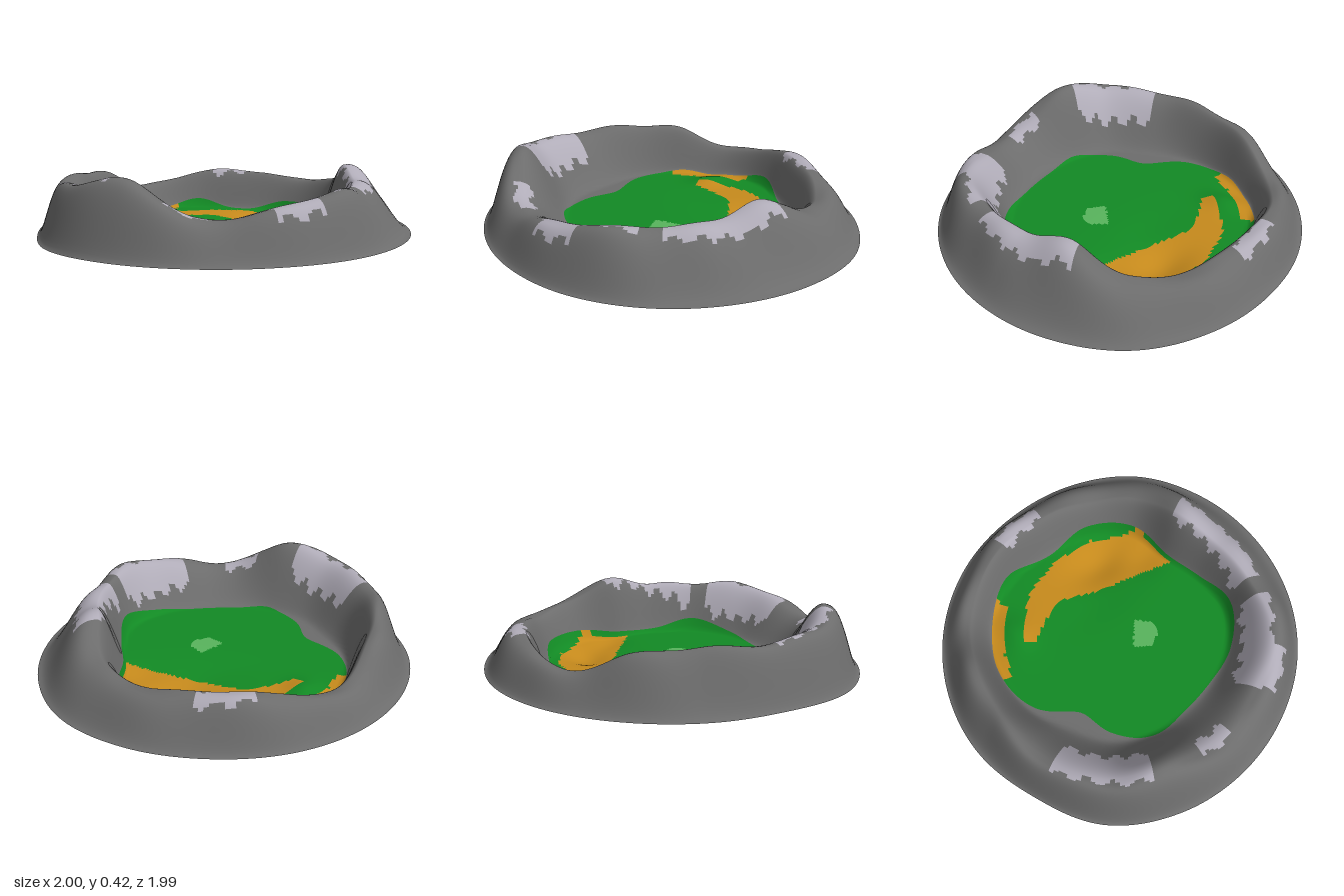
import * as THREE from 'three';

// Radii and heights around the ring, every 22.5 degrees from +x towards +z
const OUTER = [1, 0.99, 0.985, 0.98, 0.99, 1.01, 1.025, 0.99, 1, 1, 1, 1, 1, 1.02, 1.04, 1.02];
const CREST = [0.70, 0.74, 0.81, 0.79, 0.80, 0.81, 0.86, 0.84, 0.80, 0.80, 0.83, 0.82, 0.79, 0.79, 0.78, 0.69];
const HEIGHT = [0.34, 0.34, 0.34, 0.275, 0.25, 0.41, 0.365, 0.34, 0.345, 0.31, 0.20, 0.27, 0.285, 0.25, 0.27, 0.385];
const FOOT = [0.58, 0.62, 0.60, 0.57, 0.56, 0.58, 0.60, 0.60, 0.66, 0.71, 0.75, 0.73, 0.68, 0.68, 0.66, 0.57];
const GRASS = [0.58, 0.64, 0.61, 0.55, 0.54, 0.58, 0.54, 0.48, 0.62, 0.70, 0.73, 0.74, 0.66, 0.70, 0.68, 0.57];

// Outlines of the patches on the floor, as x, z
const SAND = [
  [[-0.43, -0.32], [-0.36, -0.43], [-0.22, -0.55], [0, -0.61], [0.25, -0.59], [0.5, -0.45], [0.52, -0.18], [0.35, -0.24], [0.1, -0.31], [-0.12, -0.4], [-0.25, -0.36], [-0.38, -0.29]],
  [[-0.67, -0.24], [-0.63, -0.4], [-0.52, -0.55], [-0.4, -0.62], [-0.38, -0.56], [-0.48, -0.46], [-0.56, -0.34], [-0.6, -0.22]],
];
const SPOT = [[0.02, 0.08], [0.13, -0.04], [0.2, 0.04], [0.19, 0.1], [0.1, 0.14]];

// Dips and mounds of the floor: x, z, width in x, width in z, height
const BUMPS = [
  [0.2, -0.45, 0.19, 0.13, -0.06],
  [0.42, -0.3, 0.12, 0.1, -0.02],
  [0.1, -0.25, 0.25, 0.12, -0.012],
  [-0.55, -0.42, 0.08, 0.1, -0.015],
  [-0.43, -0.4, 0.09, 0.11, 0.03],
];

// Pale rock: angle from, angle to (degrees), radius from, radius to
const PALE = [[119, 154, 0.70, 0.86], [28, 66, 0.66, 0.80], [-26, 20, 0.66, 0.80], [255, 275, 0.78, 0.87], [48, 64, 0.80, 0.88], [85, 100, 0.74, 0.82]];

// Smooth closed interpolation through a ring table
function ring(table, angle) {
  const n = table.length;
  const f = (angle / (2 * Math.PI)) * n;
  const i = Math.floor(f), t = f - i;
  const [a, b, c, d] = [-1, 0, 1, 2].map((k) => table[(i + k + n) % n]);
  return b + 0.5 * t * (c - a + t * (2 * a - 5 * b + 4 * c - d + t * (3 * (b - c) + d - a)));
}

function inside(poly, x, z) {
  let hit = false;
  poly.forEach(([x1, z1], i) => {
    const [x2, z2] = poly[(i + 1) % poly.length];
    if ((z1 > z) !== (z2 > z) && x < x1 + ((z - z1) / (z2 - z1)) * (x2 - x1)) hit = !hit;
  });
  return hit;
}

// Height of the ground: uneven floor, steep inner wall, rounded outer slope
function groundHeight(angle, r) {
  const x = r * Math.cos(angle), z = r * Math.sin(angle);
  const crest = ring(CREST, angle), outer = ring(OUTER, angle), foot = ring(FOOT, angle);
  const rise = ring(HEIGHT, angle) - 0.06 + 0.006 * Math.sin(13 * angle);
  if (r > crest) {
    const t = Math.min(1, (r - crest) / (outer - crest));
    const steep = 1.15 + 0.45 * Math.abs(Math.sin(angle));
    const ripple = 0.012 * Math.sin(11 * angle + 9 * r) * Math.sin(Math.PI * t);
    return 0.06 + rise * (1 - THREE.MathUtils.smoothstep(Math.pow(t, steep), 0, 1)) + ripple;
  }
  const t = THREE.MathUtils.clamp((r - foot + 0.02) / (crest - foot + 0.02), 0, 1);
  const floor = BUMPS.reduce((y, [bx, bz, wx, wz, h]) => y + h * Math.exp(-(((x - bx) / wx) ** 2) - ((z - bz) / wz) ** 2), 0.064);
  const wall = THREE.MathUtils.smoothstep(Math.pow(t, 0.85), 0, 1);
  return floor * (1 - wall) + (0.06 + rise) * wall;
}

function regionOf(row, x, z) {
  if (row < FLOOR_ROWS) {
    if (SAND.some((p) => inside(p, x, z))) return 'sandBunkers';
    return inside(SPOT, x, z) ? 'paleGrassSpot' : 'grassFloor';
  }
  const r = Math.hypot(x, z);
  const deg = (Math.atan2(z, x) * 180) / Math.PI;
  const pale = PALE.some(([a, b, r1, r2]) => {
    const along = (((deg - a) % 360) + 360) % 360 / (b - a);
    const wobble = 0.015 * Math.sin(deg * 0.7);
    return along < 1 && r > r1 + wobble && r < r2 + wobble;
  });
  return pale ? 'paleRock' : 'rockRim';
}

const FLOOR_ROWS = 40, WALL_ROWS = 16, SLOPE_ROWS = 18, COLUMNS = 224;

export function createModel() {
  const model = new THREE.Group();
  const rows = FLOOR_ROWS + WALL_ROWS + SLOPE_ROWS;
  const positions = [];

  // Rings of points from the centre to the outer edge
  for (let row = 0; row <= rows; row++) {
    for (let c = 0; c < COLUMNS; c++) {
      const angle = (c / COLUMNS) * Math.PI * 2;
      const grass = ring(GRASS, angle), crest = ring(CREST, angle), outer = ring(OUTER, angle);
      let r;
      if (row <= FLOOR_ROWS) r = (grass * row) / FLOOR_ROWS;
      else if (row <= FLOOR_ROWS + WALL_ROWS) r = grass + ((crest - grass) * (row - FLOOR_ROWS)) / WALL_ROWS;
      else r = crest + ((outer - crest) * (row - FLOOR_ROWS - WALL_ROWS)) / SLOPE_ROWS;
      positions.push(r * Math.cos(angle), groundHeight(angle, r), r * Math.sin(angle));
    }
  }

  // Faces, sorted into the materials they belong to
  const regions = { rockRim: [], paleRock: [], grassFloor: [], paleGrassSpot: [], sandBunkers: [] };
  const all = [];
  for (let row = 0; row < rows; row++) {
    for (let c = 0; c < COLUMNS; c++) {
      const next = (c + 1) % COLUMNS;
      const a = row * COLUMNS + c, b = row * COLUMNS + next;
      const d = a + COLUMNS, e = b + COLUMNS;
      const x = (positions[a * 3] + positions[e * 3]) / 2;
      const z = (positions[a * 3 + 2] + positions[e * 3 + 2]) / 2;
      const faces = row === 0 ? [a, e, d] : [a, b, e, a, e, d];
      regions[regionOf(row, x, z)].push(...faces);
      all.push(...faces);
    }
  }

  // Shared normals keep the surface smooth across the parts
  const whole = new THREE.BufferGeometry();
  whole.setAttribute('position', new THREE.Float32BufferAttribute(positions, 3));
  whole.setIndex(all);
  whole.computeVertexNormals();
  const normals = whole.getAttribute('normal');
  for (let c = 0; c < COLUMNS; c++) normals.setXYZ(c, 0, 1, 0);

  const colors = { rockRim: 0x6c6c6c, paleRock: 0xb0acb8, grassFloor: 0x128a24, paleGrassSpot: 0x58b45c, sandBunkers: 0xc68a1c };
  for (const [name, index] of Object.entries(regions)) {
    const geometry = new THREE.BufferGeometry();
    geometry.setAttribute('position', whole.getAttribute('position'));
    geometry.setAttribute('normal', normals);
    geometry.setIndex(index);
    const material = new THREE.MeshStandardMaterial({ color: colors[name], side: THREE.DoubleSide });
    const mesh = new THREE.Mesh(geometry, material);
    mesh.name = name;
    model.add(mesh);
  }
  return model;
}
